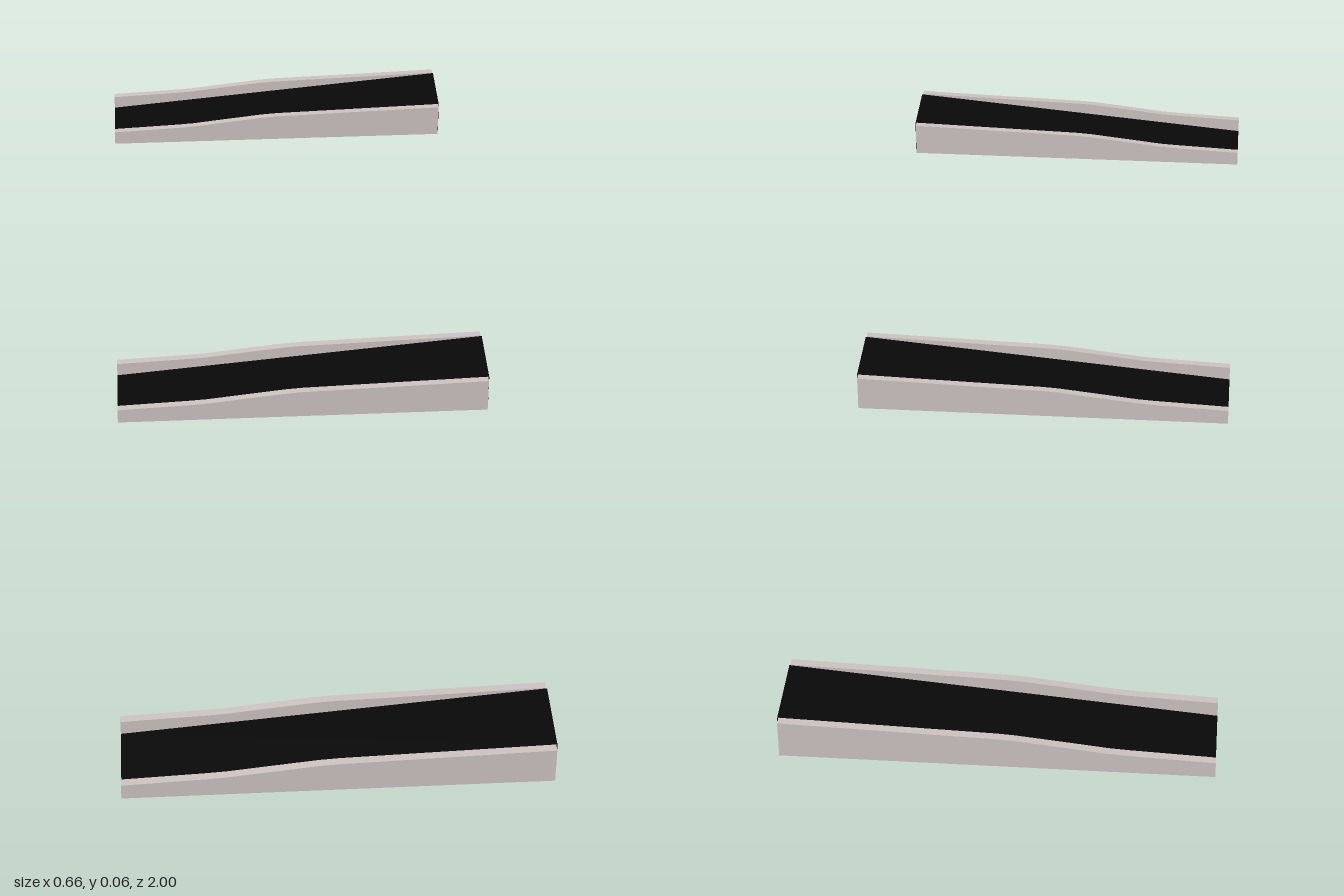
import * as THREE from 'three';

const X0 = -0.329, X1 = 0.328;
const WIDTH = 0.15, RAIL = 0.013;

// Extrude a side profile (x, y) to the given depth, centred on z
function slab(points, depth, material, name) {
  const shape = new THREE.Shape(points.map(([x, y]) => new THREE.Vector2(x, y)));
  const geometry = new THREE.ExtrudeGeometry(shape, { depth, bevelEnabled: false });
  geometry.translate(0, 0, -depth / 2);
  const mesh = new THREE.Mesh(geometry, material);
  mesh.name = name;
  return mesh;
}

export function createModel() {
  const group = new THREE.Group();
  group.name = 'ramps';
  const railMaterial = new THREE.MeshStandardMaterial({ color: 0xcdc2c2 });
  const deckMaterial = new THREE.MeshStandardMaterial({ color: 0x080808 });

  // Side rail: two gentle slopes joined by a steeper stretch
  const railProfile = [
    [X0, 0], [X1 - 0.002, 0], [X1 - 0.002, 0.063], [0, 0.053], [-0.03, 0.051],
    [-0.11, 0.042], [-0.17, 0.035], [-0.2, 0.033], [X0, 0.027],
  ];
  // Deck: straight wedge rising from the ground to the rail tops
  const deckProfile = [[X0, 0], [X1, 0], [X1, 0.062], [X0, 0.002]];

  // Three identical ramps side by side
  for (const z of [-0.925, 0, 0.925]) {
    const ramp = new THREE.Group();
    ramp.name = 'ramp';
    ramp.position.z = z;
    ramp.add(slab(deckProfile, WIDTH - 2 * RAIL, deckMaterial, 'deck'));
    for (const side of [-1, 1]) {
      const rail = slab(railProfile, RAIL, railMaterial, side > 0 ? 'frontRail' : 'backRail');
      rail.position.z = side * (WIDTH - RAIL) / 2;
      ramp.add(rail);
    }
    group.add(ramp);
  }
  return group;
}
